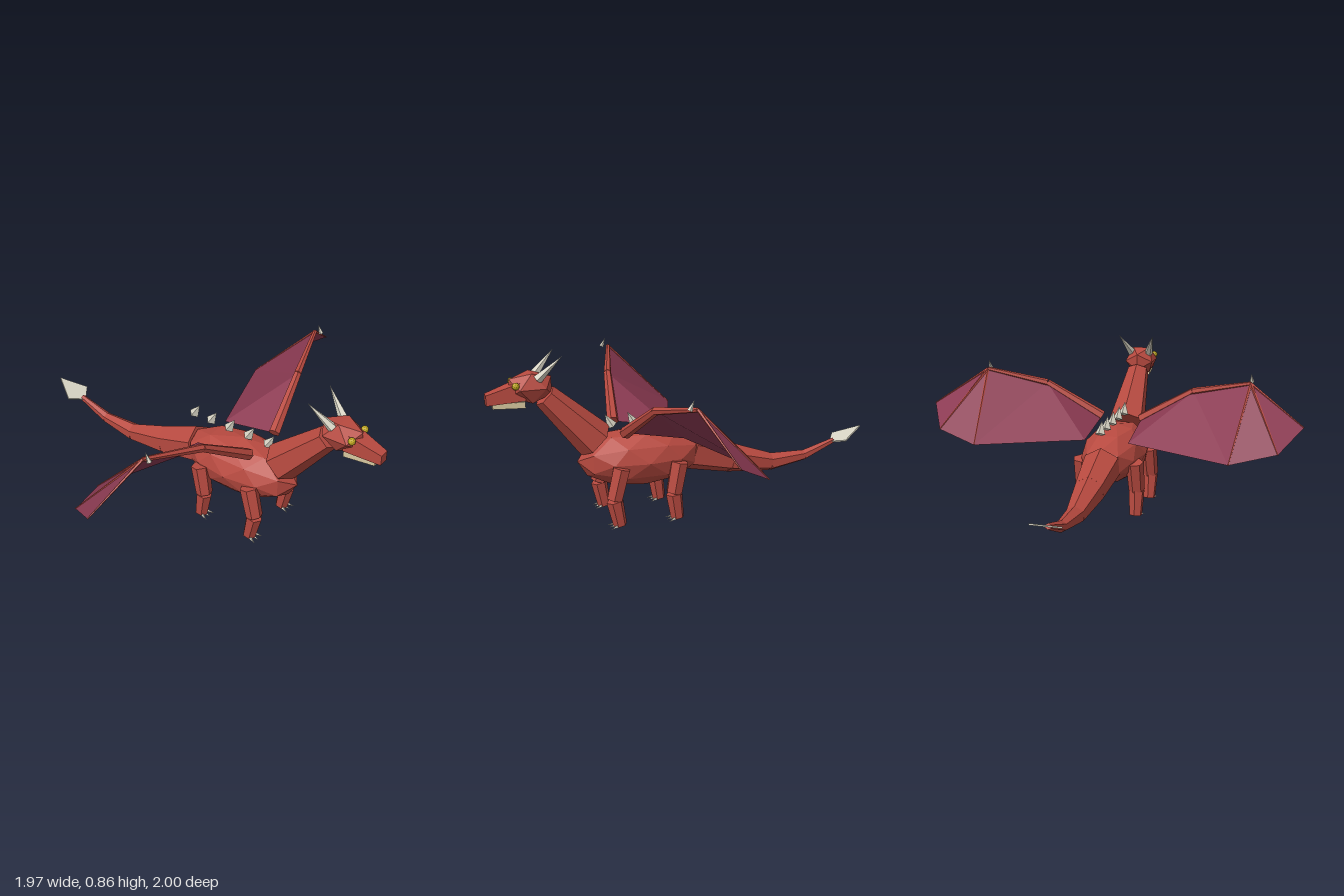
import * as THREE from 'three';

const V = (x, y, z) => new THREE.Vector3(x, y, z);

function makeMaterial(name, color, side = THREE.FrontSide) {
  const m = new THREE.MeshStandardMaterial({ color, flatShading: true, side });
  m.name = name;
  return m;
}

export function createModel() {
  const red = makeMaterial('red scales', 0xb84a40);
  const membrane = makeMaterial('wine membrane', 0x8b3a52, THREE.DoubleSide);
  const bone = makeMaterial('pale bone', 0xd8d4c4);
  const cream = makeMaterial('cream jaw', 0xd8c8a0);
  const yellow = makeMaterial('yellow eye', 0xc0a820);

  const model = new THREE.Group();
  model.name = 'dragon';

  const add = (parent, name, geometry, material) => {
    const mesh = new THREE.Mesh(geometry, material);
    mesh.name = name;
    parent.add(mesh);
    return mesh;
  };

  // Tapered prism from a to b; a zero end radius makes a spike
  const limb = (parent, name, a, b, ra, rb, material = red, sides = 6) => {
    const dir = b.clone().sub(a);
    const mesh = add(parent, name, new THREE.CylinderGeometry(rb, ra, dir.length(), sides), material);
    mesh.position.copy(a).add(b).multiplyScalar(0.5);
    mesh.quaternion.setFromUnitVectors(V(0, 1, 0), dir.normalize());
    return mesh;
  };

  // Box along z whose ends have their own half width, bottom and top
  const taperedBox = (z0, w0, b0, t0, z1, w1, b1, t1) => {
    const g = new THREE.BoxGeometry(2, 1, 1);
    const p = g.attributes.position;
    for (let i = 0; i < p.count; i++) {
      const front = p.getZ(i) > 0, top = p.getY(i) > 0;
      p.setXYZ(i, p.getX(i) * (front ? w1 : w0),
        front ? (top ? t1 : b1) : (top ? t0 : b0), front ? z1 : z0);
    }
    g.computeVertexNormals();
    return g;
  };

  // Body and neck
  const body = add(model, 'body', new THREE.IcosahedronGeometry(1, 1), red);
  body.scale.set(0.165, 0.148, 0.325);
  body.position.set(0, 0.31, 0.25);
  limb(model, 'neck', V(0, 0.41, 0.48), V(0, 0.657, 0.72), 0.1, 0.06);

  // Head
  const head = new THREE.Group();
  head.name = 'head';
  model.add(head);
  const skull = add(head, 'skull', new THREE.IcosahedronGeometry(1, 0), red);
  skull.scale.set(0.09, 0.083, 0.118);
  skull.position.set(0, 0.707, 0.787);
  add(head, 'snout', taperedBox(0.82, 0.052, 0.652, 0.745, 1, 0.026, 0.636, 0.686), red);
  add(head, 'lowerJaw', taperedBox(0.82, 0.04, 0.614, 0.645, 0.97, 0.022, 0.617, 0.64), cream);
  for (const s of [1, -1]) {
    limb(head, 'horn', V(0.048 * s, 0.75, 0.76), V(0.095 * s, 0.863, 0.65), 0.024, 0, bone, 5);
    const eye = add(head, 'eye', new THREE.IcosahedronGeometry(0.018, 1), yellow);
    eye.position.set(0.058 * s, 0.727, 0.865);
  }

  // Tail segments and flat tip
  const tail = [[0.305, -0.01, 0.1], [0.24, -0.23, 0.078], [0.19, -0.46, 0.048],
    [0.205, -0.66, 0.028], [0.268, -0.835, 0.015]];
  for (let i = 0; i < tail.length - 1; i++) {
    const [y0, z0, r0] = tail[i], [y1, z1, r1] = tail[i + 1];
    limb(model, 'tailSegment', V(0, y0, z0), V(0, y1, z1), r0, r1);
  }
  const kite = new THREE.Shape([[0, -0.015], [0.076, 0.045], [0, 0.182], [-0.076, 0.045]]
    .map(([x, y]) => new THREE.Vector2(x, y)));
  const tip = add(model, 'tailTip', new THREE.ExtrudeGeometry(kite, { depth: 0.008, bevelEnabled: false }), bone);
  tip.position.set(0, 0.262, -0.829);
  tip.rotation.x = -Math.PI / 2 + 0.375;

  // Back spikes, leaning forward
  for (const z of [0.41, 0.295, 0.18, 0.07, -0.035]) {
    limb(model, 'backSpike', V(0, 0.475, z - 0.015), V(0, 0.537, z + 0.02), 0.027, 0, bone, 4);
  }

  // Legs with three claws each
  for (const s of [1, -1]) {
    for (const [name, hip, knee, foot] of [['frontLeg', 0.39, 0.43, 0.405], ['backLeg', 0.095, 0.125, 0.108]]) {
      const leg = new THREE.Group();
      leg.name = name;
      model.add(leg);
      const x = 0.147 * s;
      limb(leg, 'upperLeg', V(0.143 * s, 0.3, hip), V(x, 0.145, knee), 0.046, 0.042);
      limb(leg, 'lowerLeg', V(x, 0.14, knee), V(x, 0.012, foot), 0.042, 0.034);
      for (const k of [-1, 0, 1]) {
        limb(leg, 'claw', V(x + k * 0.02, 0.013, foot + 0.018),
          V(x + k * 0.034, 0.004, foot + 0.056), 0.009, 0, bone, 4);
      }
    }
  }

  // Wings: arm, fingers, membrane and a claw at the wrist
  for (const s of [1, -1]) {
    const wing = new THREE.Group();
    wing.name = s > 0 ? 'leftWing' : 'rightWing';
    model.add(wing);
    const root = V(0.11 * s, 0.465, 0.36), elbow = V(0.4 * s, 0.645, 0.302), wrist = V(0.705 * s, 0.722, 0.212);
    const fingers = [V(0.982 * s, 0.535, 0.13), V(0.88 * s, 0.437, -0.045), V(0.655 * s, 0.388, -0.12)];
    const trail = V(0.115 * s, 0.408, 0.06);
    limb(wing, 'upperArm', root, elbow, 0.03, 0.02);
    limb(wing, 'forearm', elbow, wrist, 0.02, 0.011);
    for (const f of fingers) limb(wing, 'finger', wrist, f, 0.008, 0.003, red, 5);
    limb(wing, 'wingClaw', V(0.705 * s, 0.722, 0.25), V(0.705 * s, 0.768, 0.228), 0.013, 0, bone, 5);

    const [f1, f2, f3] = fingers;
    const tris = [root, elbow, trail, elbow, f3, trail, elbow, wrist, f3, wrist, f2, f3, wrist, f1, f2];
    const g = new THREE.BufferGeometry().setFromPoints(tris);
    // Keep the winding facing up on both sides
    if (s < 0) g.setIndex(tris.map((_, i) => i - (i % 3) + 2 - (i % 3)));
    g.computeVertexNormals();
    add(wing, 'wingMembrane', g, membrane);
  }

  return model;
}
